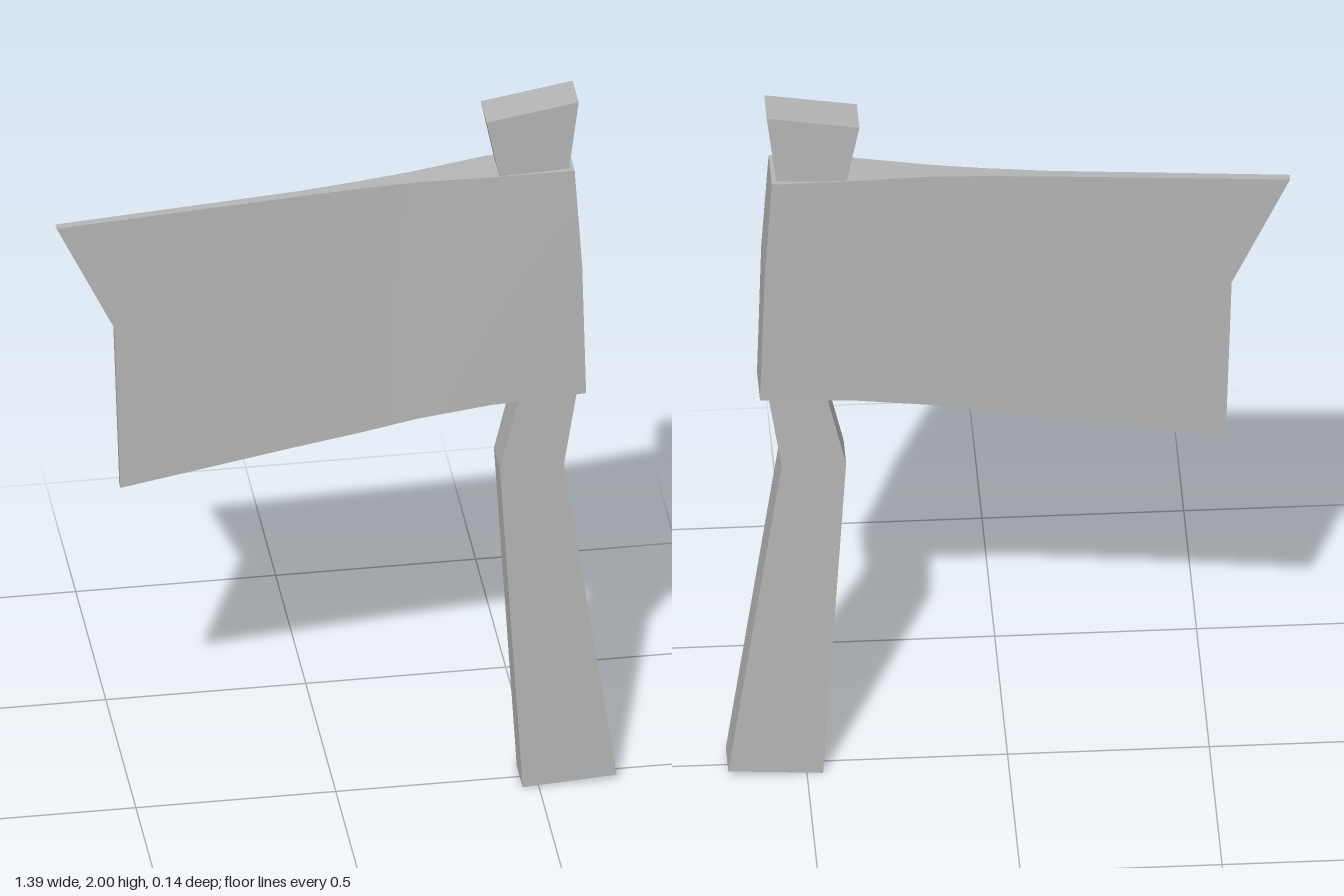
import * as THREE from 'three';

const steel = new THREE.MeshStandardMaterial({ color: 0xb4b4b4 });
steel.name = 'plain grey';

// Blade cross-sections from cutting edge to poll: bottom, middle, top as [x, y, half thickness]
const SECTIONS = [
  [[-0.54, 0.95, 0.01], [-0.555, 1.42, 0.01], [-0.7, 1.727, 0.01]],
  [[-0.1, 1.03, 0.012], [-0.1, 1.44, 0.012], [-0.1, 1.765, 0.012]],
  [[0.06, 1.06, 0.017], [0.06, 1.45, 0.017], [0.06, 1.777, 0.017]],
  [[0.2, 1.093, 0.026], [0.2, 1.46, 0.026], [0.2, 1.788, 0.026]],
  [[0.38, 1.131, 0.05], [0.38, 1.5, 0.052], [0.38, 1.8, 0.05]],
  [[0.617, 1.15, 0.06], [0.606, 1.53, 0.068], [0.588, 1.808, 0.063]],
];

function mesh(name, geometry) {
  const m = new THREE.Mesh(geometry, steel);
  m.name = name;
  return m;
}

function geometryFrom(positions, index) {
  const g = new THREE.BufferGeometry();
  g.setAttribute('position', new THREE.Float32BufferAttribute(positions, 3));
  if (index) g.setIndex(index);
  g.computeVertexNormals();
  return g;
}

// Smoothly curved cheek; side is +1 for the front and -1 for the back
function cheek(side) {
  const positions = [], index = [];
  SECTIONS.forEach((s) => s.forEach(([x, y, t]) => positions.push(x, y, side * t)));
  for (let i = 0; i < SECTIONS.length - 1; i++) {
    for (let j = 0; j < 2; j++) {
      const a = i * 3 + j, b = a + 3, c = b + 1, d = a + 1;
      if (side > 0) index.push(a, b, c, a, c, d);
      else index.push(a, c, b, a, d, c);
    }
  }
  return geometryFrom(positions, index);
}

// Flat faces around the blade outline, joining the two cheeks
function rim() {
  const last = SECTIONS.length - 1;
  const loop = [
    ...SECTIONS.map((s) => s[0]),
    SECTIONS[last][1],
    ...SECTIONS.map((s) => s[2]).reverse(),
    SECTIONS[0][1],
  ];
  const positions = [];
  loop.forEach(([x, y, t], i) => {
    const [u, v, w] = loop[(i + 1) % loop.length];
    positions.push(x, y, t, x, y, -t, u, v, -w, x, y, t, u, v, -w, u, v, w);
  });
  return geometryFrom(positions);
}

// Bent handle running through the head and flaring at the top
function handle() {
  const outline = [
    [0.46, 0], [0.695, 0.015], [0.563, 0.94], [0.597, 1.16], [0.575, 1.8],
    [0.6, 2], [0.37, 1.962], [0.402, 1.8], [0.452, 1.15], [0.403, 0.94],
  ];
  const shape = new THREE.Shape(outline.map(([x, y]) => new THREE.Vector2(x, y)));
  const g = new THREE.ExtrudeGeometry(shape, { depth: 0.1, bevelEnabled: false });
  return g.translate(0, 0, -0.05);
}

export function createModel() {
  const model = new THREE.Group();
  model.name = 'cleaver axe';
  const blade = new THREE.Group();
  blade.name = 'blade';
  blade.add(
    mesh('frontCheek', cheek(1)),
    mesh('backCheek', cheek(-1)),
    mesh('bladeRim', rim()),
  );
  model.add(blade, mesh('handle', handle()));
  return model;
}
